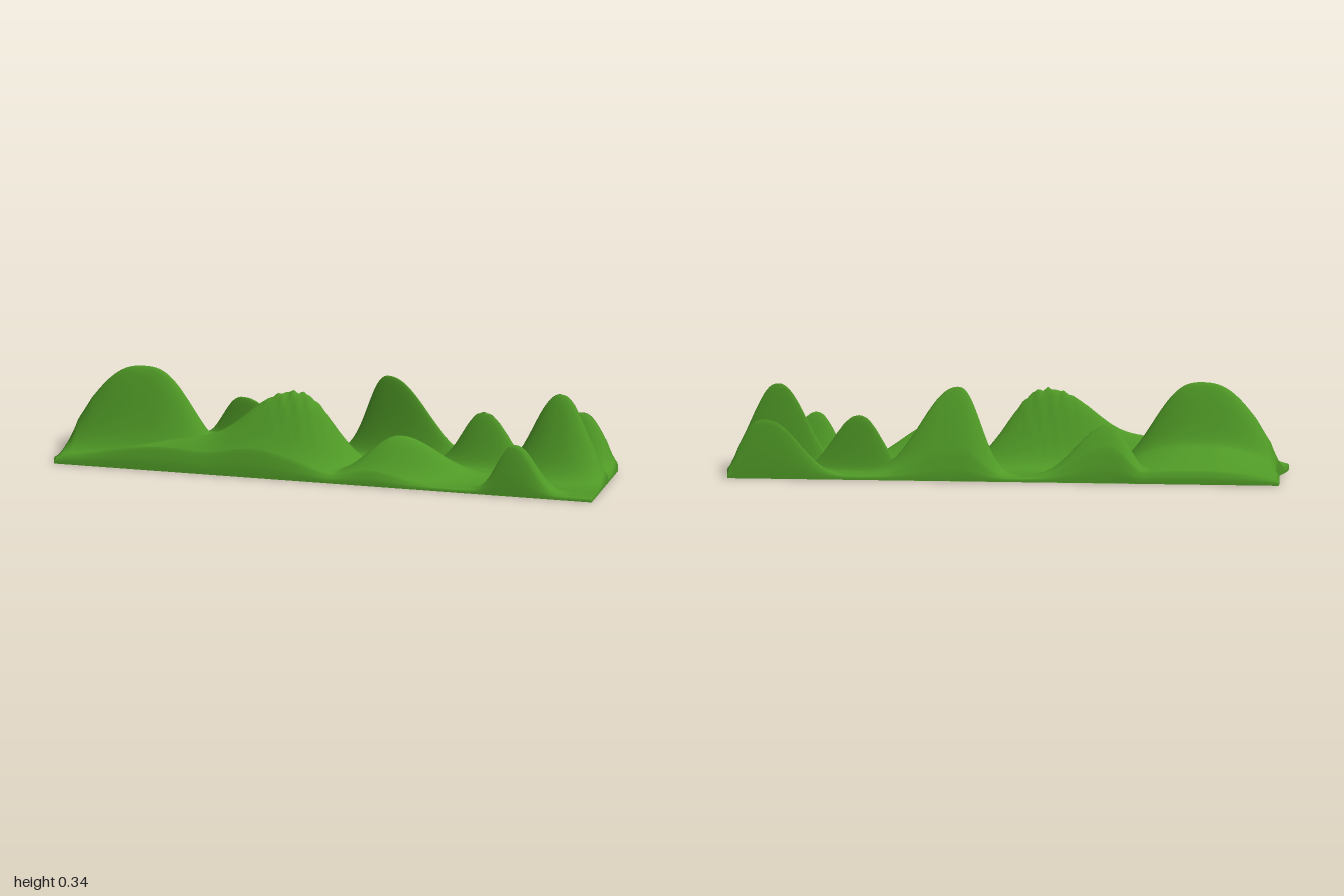
import * as THREE from 'three';

// Hills: peak x, peak z, height, spread left/right (x), spread front/back (z),
// ridge slope dz/dx, forward lean of the crest, bluntness along x
const HILLS = [
  [-0.70, 0.03, 0.325, 0.255, 0.215, 0.06, 0.06, 0, 0, 2.6],
  [-0.70, -0.03, 0.10, 0.27, 0.30, 0.08, 0.15, 0, 0, 2.6],
  [-0.13, 0.08, 0.285, 0.27, 0.18, 0.085, 0.055, -0.18, 0, 2.2],
  [-0.30, 0.12, 0.12, 0.52, 0.15, 0.06, 0.06, -0.14, 0, 2.2],
  [-0.38, -0.16, 0.185, 0.10, 0.16, 0.022, 0.04, 0, 0.032, 2.2],
  [0.17, -0.15, 0.315, 0.11, 0.18, 0.022, 0.035, 0, 0.055, 2.2],
  [0.26, 0.105, 0.155, 0.15, 0.19, 0.06, 0.05, -0.25, 0, 2],
  [0.53, -0.09, 0.205, 0.11, 0.125, 0.03, 0.013, 0.1, 0, 2.2],
  [0.71, 0.18, 0.175, 0.085, 0.10, 0.035, 0.03, -0.14, 0, 2.2],
  [0.83, -0.04, 0.31, 0.14, 0.125, 0.055, 0.014, 0.05, 0, 2.2],
  [0.87, -0.19, 0.20, 0.165, 0.105, 0.055, 0.03, 0, 0, 2.4],
];

// Height and forward shift of the ground at (x, z)
function ground(x, z) {
  let sum = 0, shift = 0;
  HILLS.forEach(([hx, hz, h, sl, sr, sf, sb, skew, lean, blunt]) => {
    const dx = x - hx, dz = z - hz - skew * dx;
    const u = Math.abs(dx) / (dx < 0 ? sl : sr);
    const v = Math.abs(dz) / (dz > 0 ? sf : sb);
    const w = Math.exp(-(u ** blunt) - v ** 1.8);
    sum += (h * w) ** 4;
    shift += lean * w ** 1.4;
  });
  let y = sum ** 0.25;
  // slightly ragged crest on the middle hill
  const crest = Math.exp(-(((x + 0.13) / 0.1) ** 2) - ((z - 0.08) / 0.05) ** 2);
  y += 0.008 * crest * Math.sin(x * 170) * Math.cos(x * 57 + z * 90);
  // the ground rounds off towards all four edges
  const endTaper = Math.sqrt(Math.min(1, (1 - Math.abs(x)) / 0.05 + 0.25));
  const sideTaper = Math.sqrt(Math.min(1, Math.max(0, 0.2 - Math.abs(z)) / 0.012 + 0.1));
  return { y: 0.005 + (0.01 + y * endTaper) * sideTaper, shift };
}

export function createModel() {
  const group = new THREE.Group();
  const material = new THREE.MeshStandardMaterial({ color: 0x4f9926, side: THREE.DoubleSide });
  const NX = 220, NZ = 140;
  const pinch = (x, z) => (x < -0.9 ? 0.025 * Math.exp(-((z / 0.1) ** 2)) * (-x - 0.9) / 0.1 : 0);

  // Hilly surface; the outermost ring of vertices drops to the floor as a rim
  const top = new THREE.PlaneGeometry(2, 0.4, NX, NZ).rotateX(-Math.PI / 2);
  const pos = top.attributes.position;
  for (let j = 0; j <= NZ; j++) {
    for (let i = 0; i <= NX; i++) {
      const ci = Math.min(Math.max(i, 1), NX - 1), cj = Math.min(Math.max(j, 1), NZ - 1);
      const x = -1 + 2 * (ci - 1) / (NX - 2), z = -0.2 + 0.4 * (cj - 1) / (NZ - 2);
      const g = ground(x, z), rim = i !== ci || j !== cj;
      pos.setXYZ(j * (NX + 1) + i, x + pinch(x, z), rim ? 0 : g.y, z + g.shift);
    }
  }
  top.computeVertexNormals();
  const hills = new THREE.Mesh(top, material);
  hills.name = 'hills';
  group.add(hills);

  // Flat underside following the pinched left end
  const bottom = new THREE.PlaneGeometry(2, 0.4, 20, 16).rotateX(Math.PI / 2);
  const bp = bottom.attributes.position;
  for (let i = 0; i < bp.count; i++) bp.setX(i, bp.getX(i) + pinch(bp.getX(i), bp.getZ(i)));
  const underside = new THREE.Mesh(bottom, material);
  underside.name = 'underside';
  group.add(underside);
  return group;
}
